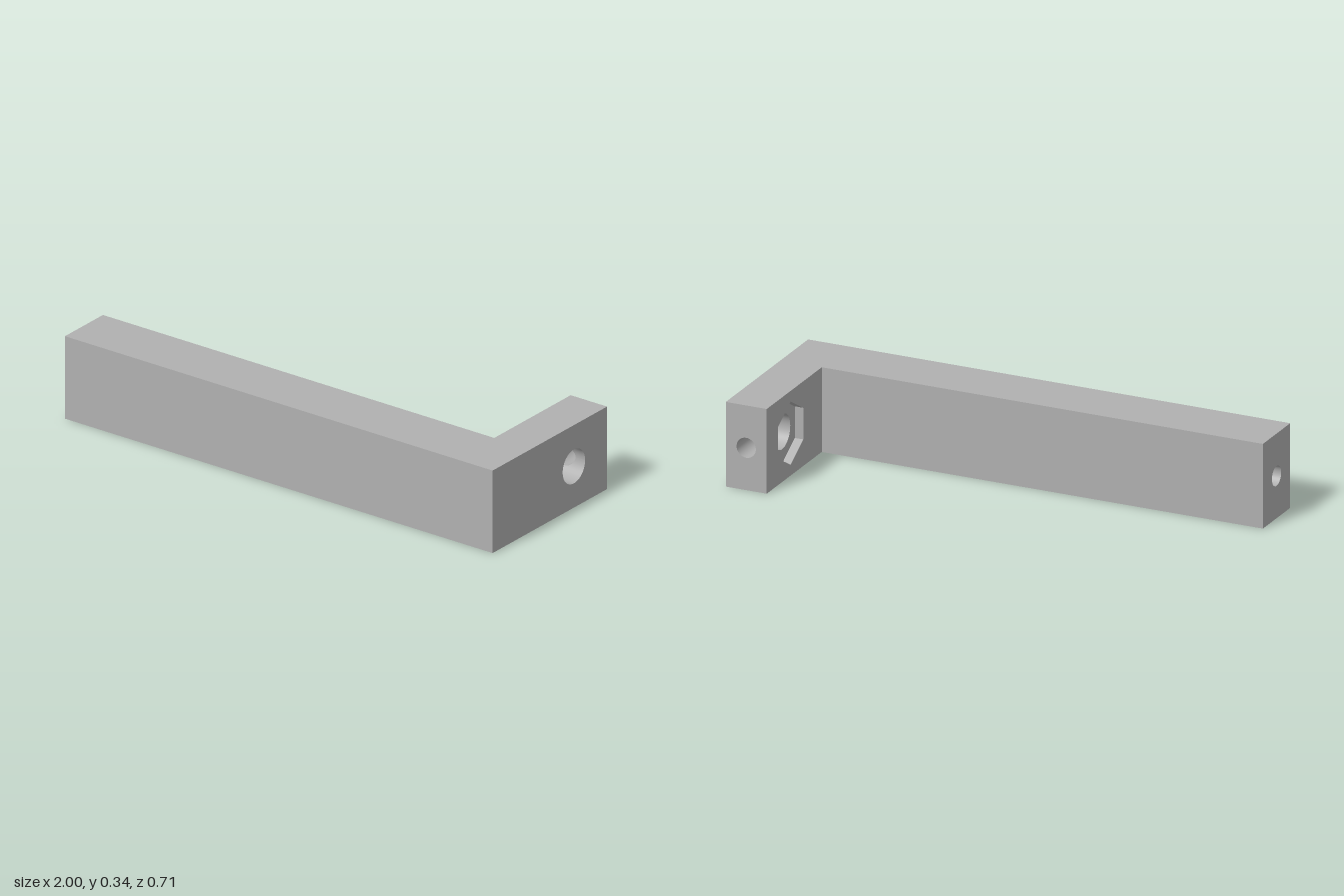
import * as THREE from 'three';

const H = 0.34, MID = H / 2;              // height and mid height
const BACK = -0.357, FRONT = 0.357;       // z range
const ARM_Z = 0.12, LEG_X = 0.83;         // inner corner of the L
const BORE_Z = -0.15, BORE_R = 0.07;      // large cross bore
const HEX_R = 0.127, HEX_X = 0.865;       // nut pocket and its floor
const PIN_R = 0.04, PIN_X = 0.915;        // small holes
const ARM_MID = (ARM_Z + FRONT) / 2, PIN_DEPTH = 0.3;
const Q = Math.PI / 2;

export function createModel() {
  const group = new THREE.Group();
  const grey = new THREE.MeshStandardMaterial({ color: 0xb0b0b0, side: THREE.DoubleSide });

  const add = (name, geometry) => {
    const mesh = new THREE.Mesh(geometry, grey);
    mesh.name = name;
    group.add(mesh);
  };
  const polygon = (pts) => new THREE.Shape(pts.map(([x, y]) => new THREE.Vector2(x, y)));
  const circle = (u, r) => new THREE.Path().absarc(u, 0, r, 0, Math.PI * 2, true);
  const hexagon = (u) => Array.from({ length: 6 }, (_, i) => {
    const a = Q + i * Math.PI / 3;
    return [u + HEX_R * Math.cos(a), HEX_R * Math.sin(a)];
  });

  // Upright flat face, turned about y and centred at (x, MID, z)
  const place = (name, shape, turn, x, z) =>
    add(name, new THREE.ShapeGeometry(shape, 64).rotateY(turn).translate(x, MID, z));
  const wall = (name, width, turn, x, z, hole) => {
    const w = width / 2;
    const shape = polygon([[-w, -MID], [w, -MID], [w, MID], [-w, MID]]);
    if (hole) shape.holes.push(hole);
    place(name, shape, turn, x, z);
  };

  // L-shaped top and bottom
  const outline = (s) => polygon([
    [-1, s * FRONT], [1, s * FRONT], [1, s * BACK],
    [LEG_X, s * BACK], [LEG_X, s * ARM_Z], [-1, s * ARM_Z],
  ]);
  add('topFace', new THREE.ShapeGeometry(outline(-1)).rotateX(-Q).translate(0, H, 0));
  add('bottomFace', new THREE.ShapeGeometry(outline(1)).rotateX(Q));

  // Side faces
  const legMid = (BACK + ARM_Z) / 2;
  wall('armFront', 2, 0, 0, FRONT);
  wall('armBack', 1 + LEG_X, Math.PI, (LEG_X - 1) / 2, ARM_Z);
  wall('armEnd', FRONT - ARM_Z, -Q, -1, ARM_MID, circle(0, PIN_R));
  wall('legOuterFace', FRONT - BACK, Q, 1, 0, circle(-BORE_Z, BORE_R));
  wall('legEnd', 1 - LEG_X, Math.PI, PIN_X, BACK, circle(0, PIN_R));
  wall('legInnerFace', ARM_Z - BACK, -Q, LEG_X, legMid, polygon(hexagon(BORE_Z - legMid)));

  // Hexagonal nut pocket
  const pocketFloor = polygon(hexagon(0));
  pocketFloor.holes.push(circle(0, BORE_R));
  place('pocketFloor', pocketFloor, -Q, HEX_X, BORE_Z);
  const pocket = new THREE.CylinderGeometry(HEX_R, HEX_R, HEX_X - LEG_X, 6, 1, true, Q)
    .rotateZ(Q).translate((HEX_X + LEG_X) / 2, MID, BORE_Z).toNonIndexed();
  pocket.computeVertexNormals();
  add('pocketWalls', pocket);

  // Bore wall: an arc, plus a patch that leaves the pin hole open
  const spread = 0.9, boreMid = (1 + HEX_X) / 2, boreHalf = (1 - HEX_X) / 2;
  add('boreWall', new THREE.CylinderGeometry(BORE_R, BORE_R, 2 * boreHalf, 48, 1, true,
    Math.PI + spread, 2 * Math.PI - 2 * spread).rotateZ(Q).translate(boreMid, MID, BORE_Z));

  const patch = new THREE.PlaneGeometry(1, 1, 64, 5);
  const pp = patch.attributes.position, uv = patch.attributes.uv;
  for (let i = 0; i < pp.count; i++) {
    const a = uv.getX(i) * Math.PI * 2, t = uv.getY(i);
    const c = Math.cos(a), s = Math.sin(a), m = Math.max(Math.abs(c), Math.abs(s));
    const x = THREE.MathUtils.lerp(PIN_X + PIN_R * c, boreMid + boreHalf * c / m, t);
    const phi = THREE.MathUtils.lerp(Math.asin(PIN_R * s / BORE_R), spread * s / m, t);
    pp.setXYZ(i, x, MID + BORE_R * Math.sin(phi), BORE_Z - BORE_R * Math.cos(phi));
  }
  patch.computeVertexNormals();
  add('borePortWall', patch);

  // Pin hole from the leg end, trimmed where it meets the bore
  const pin = new THREE.CylinderGeometry(PIN_R, PIN_R, 1, 64, 1, true).rotateX(Q);
  const p = pin.attributes.position;
  for (let i = 0; i < p.count; i++) {
    const y = p.getY(i);
    p.setZ(i, p.getZ(i) > 0 ? BORE_Z - Math.sqrt(BORE_R ** 2 - y * y) : BACK);
  }
  add('legPinHole', pin.translate(PIN_X, MID, 0));

  // Blind pin hole in the arm end
  add('armPinHole', new THREE.CylinderGeometry(PIN_R, PIN_R, PIN_DEPTH, 64, 1, true)
    .rotateZ(Q).translate(-1 + PIN_DEPTH / 2, MID, ARM_MID));
  add('armPinHoleFloor', new THREE.CircleGeometry(PIN_R, 64)
    .rotateY(-Q).translate(-1 + PIN_DEPTH, MID, ARM_MID));

  return group;
}
